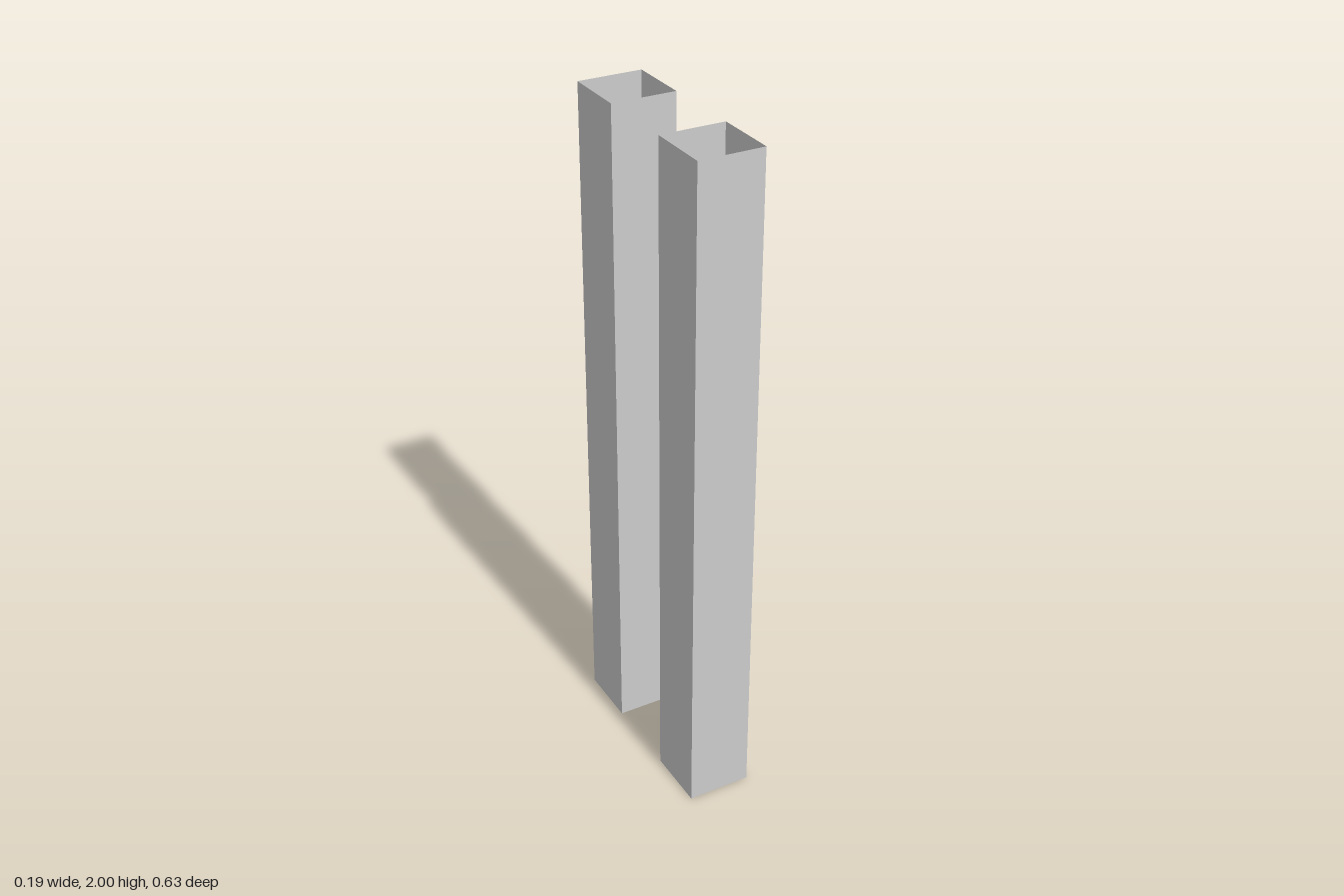
import * as THREE from 'three';

export function createModel() {
  const group = new THREE.Group();
  const material = new THREE.MeshStandardMaterial({
    color: 0xcccccc, flatShading: true, side: THREE.DoubleSide,
  });

  // Square sleeve, open at both ends, with sides parallel to the axes
  const width = 0.19, height = 2, offset = 0.22;
  const sleeve = new THREE.CylinderGeometry(
    width / Math.SQRT2, width / Math.SQRT2, height, 4, 1, true, Math.PI / 4);

  // One post in front, one behind
  for (const [name, side] of [['frontPost', 1], ['backPost', -1]]) {
    const post = new THREE.Mesh(sleeve, material);
    post.name = name;
    post.position.set(0, height / 2, side * offset);
    group.add(post);
  }
  return group;
}
